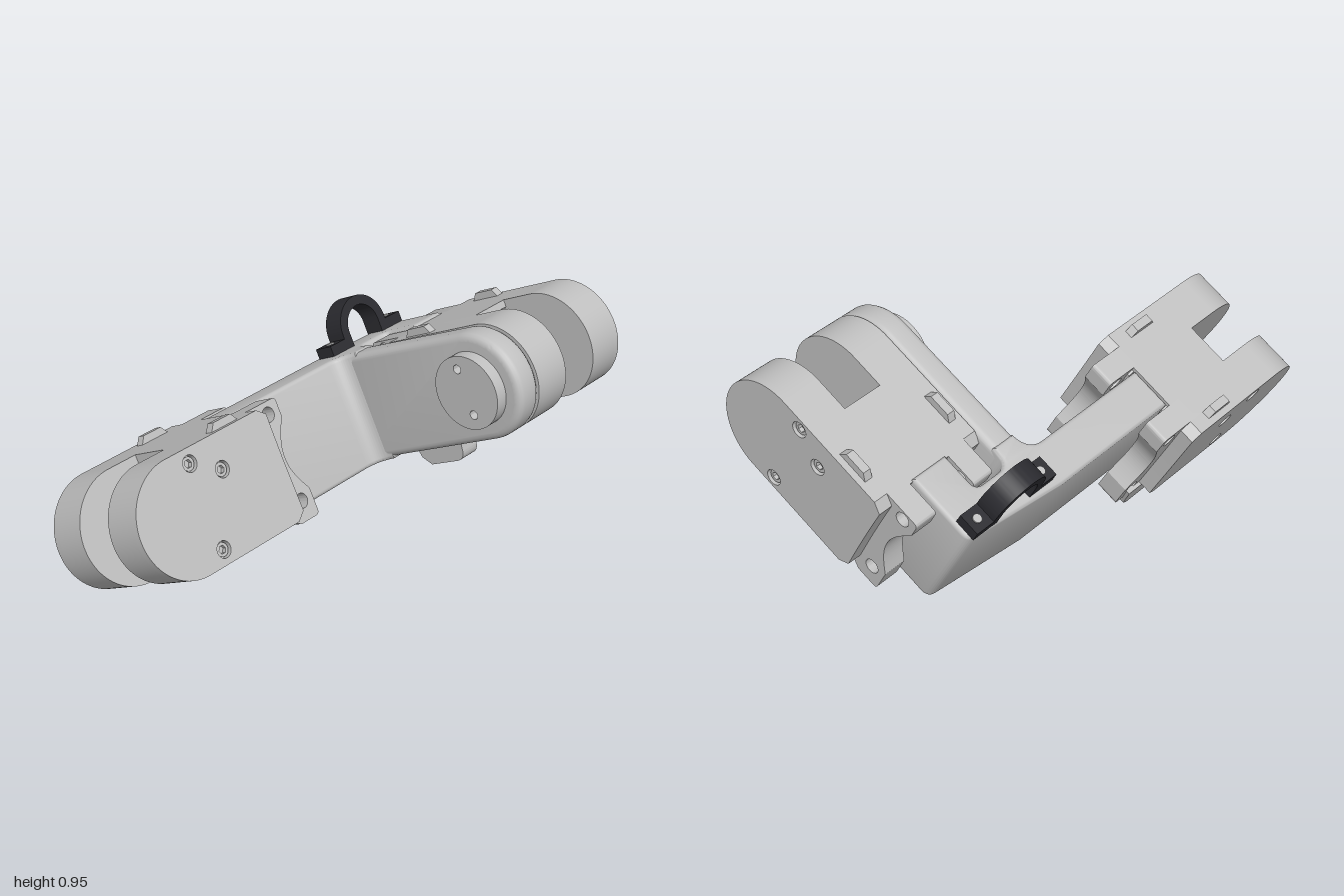
import * as THREE from 'three';
import { toCreasedNormals } from 'three/addons/utils/BufferGeometryUtils.js';

const grey = new THREE.MeshStandardMaterial({ color: 0xc0c0c0 });
grey.name = 'light grey plastic';
const black = new THREE.MeshStandardMaterial({ color: 0x2b2b30 });
black.name = 'black plastic';

const AXIS = 0.472; // height of both joint axes in the tilted frame

function add(parent, name, geometry, material = grey) {
  const mesh = new THREE.Mesh(toCreasedNormals(geometry, 0.5), material);
  mesh.name = name;
  parent.add(mesh);
  return mesh;
}

// Extrude a shape so that it fills z0..z1, bevel included
function slab(shape, z0, z1, bevel = 0) {
  const g = new THREE.ExtrudeGeometry(shape, {
    depth: z1 - z0 - 2 * bevel, curveSegments: 28, bevelEnabled: bevel > 0,
    bevelSize: bevel, bevelOffset: -bevel, bevelThickness: bevel, bevelSegments: 4,
  });
  return g.translate(0, 0, z0 + bevel);
}

function polygon(points) {
  return new THREE.Shape(points.map(([x, y]) => new THREE.Vector2(x, y)));
}

function hole(shape, x, y, r) {
  const path = new THREE.Path();
  path.absarc(x, y, r, 0, Math.PI * 2, true);
  shape.holes.push(path);
}

// Flat lobe with a round end at +x, with its joint at the origin
function lobeShape(r, back) {
  const s = new THREE.Shape();
  s.moveTo(back, r - 0.03);
  s.quadraticCurveTo(back + 0.005, -0.0, back, -r + 0.03);
  s.lineTo(back + 0.04, -r);
  s.lineTo(0, -r);
  s.absarc(0, 0, r, -Math.PI / 2, Math.PI / 2, false);
  s.lineTo(back + 0.04, r);
  return s;
}

// Forked joint housing: x runs to the round end, y is height, z is thickness
function createFork(r, name) {
  const fork = new THREE.Group();
  fork.name = name;
  const back = -0.52;
  const screws = [[-0.1, 0.172], [-0.23, 0.095], [-0.1, -0.172]];

  // Web between the lobes, hollowed around the joint
  const web = new THREE.Shape();
  const a = Math.acos(0.14 / 0.235);
  web.moveTo(back + 0.02, -r);
  web.lineTo(-0.14, -r);
  web.lineTo(-0.14, -0.235 * Math.sin(a));
  web.absarc(0, 0, 0.235, Math.PI + a, Math.PI - a, true);
  web.lineTo(-0.14, r);
  web.lineTo(back + 0.02, r);
  add(fork, 'forkWeb', slab(web, -0.11, 0.11));

  for (const side of [-1, 1]) {
    const half = new THREE.Group();
    half.name = side > 0 ? 'forkHalfA' : 'forkHalfB';
    fork.add(half);
    const place = (name, shape, t0, t1) =>
      add(half, name, slab(shape, side > 0 ? t0 : -t1, side > 0 ? t1 : -t0));

    // Lobe with a drilled outer skin and recessed screw heads
    place('lobe', lobeShape(r, back), 0.09, 0.235);
    const skin = lobeShape(r, back);
    screws.forEach(([x, y]) => hole(skin, x, y, 0.033));
    place('lobeSkin', skin, 0.235, 0.262);
    for (const [x, y] of screws) {
      const head = new THREE.Shape();
      head.absarc(x, y, 0.027, 0, Math.PI * 2, false);
      const socket = new THREE.Path();
      for (let i = 0; i < 6; i++) {
        const t = -i * Math.PI / 3;
        socket[i ? 'lineTo' : 'moveTo'](x + 0.017 * Math.cos(t), y + 0.017 * Math.sin(t));
      }
      socket.closePath();
      head.holes.push(socket);
      place('screwHead', head, 0.235, 0.252);
    }

    // Drilled mounting ears with a hollow edge between them
    const ear = new THREE.Shape();
    ear.moveTo(-0.4, r);
    ear.lineTo(-0.625, r);
    ear.quadraticCurveTo(-0.64, r, -0.64, r - 0.02);
    ear.lineTo(-0.64, 0.15);
    ear.bezierCurveTo(-0.6, 0.09, -0.58, 0.05, -0.58, 0);
    ear.bezierCurveTo(-0.58, -0.05, -0.6, -0.09, -0.64, -0.15);
    ear.lineTo(-0.64, -0.24);
    ear.quadraticCurveTo(-0.64, -0.26, -0.62, -0.26);
    ear.lineTo(-0.54, -0.26);
    ear.lineTo(-0.48, -r);
    ear.lineTo(-0.4, -r);
    for (const y of [-0.18, 0.18]) hole(ear, -0.58, y, 0.03);
    place('mountingEar', ear, 0.1, 0.2);

    // Small clip on the top edge
    place('topClip', polygon([[-0.41, r - 0.01], [-0.26, r - 0.01], [-0.29, r + 0.03],
      [-0.38, r + 0.03]]), 0.2, 0.235);
  }

  // Foot under one lobe
  const foot = new THREE.Shape();
  foot.moveTo(-0.6, -0.2);
  foot.lineTo(-0.58, -0.29);
  foot.lineTo(-0.54, -0.327);
  foot.lineTo(-0.39, -0.327);
  foot.quadraticCurveTo(-0.35, -0.325, -0.345, -0.28);
  foot.quadraticCurveTo(-0.34, -0.24, -0.3, -0.2);
  add(fork, 'foot', slab(foot, 0.125, 0.215));
  return fork;
}

// Bent arm joining the two forks
function createArm() {
  const arm = new THREE.Group();
  arm.name = 'arm';

  // Beam and rear prong, drawn in plan and raised
  const plan = new THREE.Shape();
  plan.moveTo(-0.14, -0.27);
  plan.lineTo(0.035, -0.27);
  plan.lineTo(0.035, 0.29);
  plan.quadraticCurveTo(0.04, 0.36, 0.12, 0.365);
  plan.lineTo(0.12, 0.475);
  plan.lineTo(0.07, 0.48);
  plan.quadraticCurveTo(0.035, 0.49, 0.035, 0.53);
  plan.lineTo(0.035, 0.61);
  plan.quadraticCurveTo(0.035, 0.65, 0.07, 0.65);
  plan.lineTo(0.2, 0.65);
  plan.lineTo(0.2, 0.825);
  plan.lineTo(-0.06, 0.825);
  plan.quadraticCurveTo(-0.1, 0.825, -0.103, 0.785);
  plan.lineTo(-0.14, 0.35);
  add(arm, 'beam', slab(plan, 0.238, 0.702, 0.018).rotateX(-Math.PI / 2));

  // Round-ended front plate
  const plate = new THREE.Shape();
  plate.moveTo(-0.73, -0.225);
  plate.lineTo(0, -0.218);
  plate.absarc(0, 0, 0.218, -Math.PI / 2, Math.PI / 2, false);
  plate.lineTo(-0.73, 0.225);
  add(arm, 'frontPlate', slab(plate, -0.478, -0.36, 0.03)).position.set(0.691, AXIS, 0);

  // Horn disc with two screw holes
  const horn = new THREE.Shape();
  horn.absarc(0, 0, 0.15, 0, Math.PI * 2, false);
  hole(horn, -0.002, 0.098, 0.018);
  hole(horn, -0.002, -0.09, 0.018);
  add(arm, 'hornDisc', slab(horn, -0.37, -0.307)).position.set(0.691, AXIS, 0);
  return arm;
}

// Black cable arch with two screwed feet
function createCableClamp() {
  const clamp = new THREE.Group();
  clamp.name = 'cableClamp';
  const s = new THREE.Shape();
  s.moveTo(-0.215, 0);
  s.lineTo(-0.088, 0);
  s.lineTo(-0.088, 0.06);
  s.absarc(0, 0.06, 0.088, Math.PI, 0, true);
  s.lineTo(0.088, 0);
  s.lineTo(0.215, 0);
  s.lineTo(0.215, 0.045);
  s.lineTo(0.128, 0.045);
  s.absarc(0, 0.06, 0.128, 0, Math.PI, false);
  s.lineTo(-0.128, 0.045);
  s.lineTo(-0.215, 0.045);
  add(clamp, 'arch', slab(s, -0.045, 0.045), black);
  for (const x of [-0.172, 0.172]) {
    add(clamp, 'clampScrew', new THREE.CylinderGeometry(0.018, 0.018, 0.008, 16)).position.set(x, 0.046, 0);
  }
  clamp.rotation.y = -Math.PI / 2;
  clamp.position.set(-0.062, 0.7, -0.595);
  return clamp;
}

export function createModel() {
  const model = new THREE.Group();
  model.name = 'robotLegJoint';
  const tilted = new THREE.Group();
  tilted.name = 'tiltedAssembly';
  tilted.rotation.z = THREE.MathUtils.degToRad(28);
  model.add(tilted);

  const front = createFork(0.23, 'frontFork');
  front.rotation.y = -Math.PI / 2;
  front.position.set(-0.052, AXIS + 0.002, 0.77);
  const rear = createFork(0.218, 'rearFork');
  rear.position.set(0.691, AXIS, -0.738);
  tilted.add(front, rear, createArm(), createCableClamp());
  return model;
}
